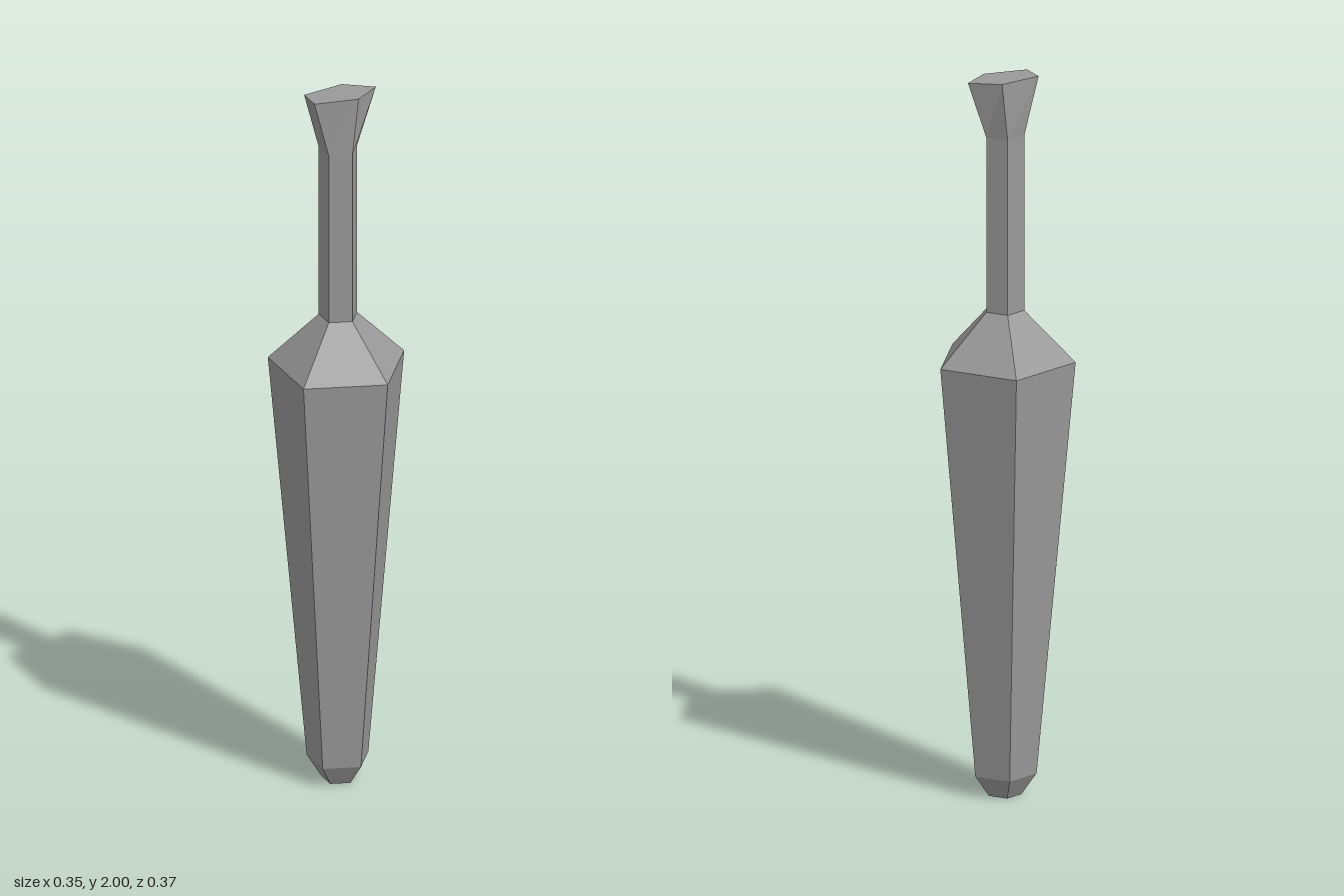
import * as THREE from 'three';

const CENTRE = -0.019; // x of the five-sided axis

// Regular pentagon ring with one corner pointing to +x
function pentagon(y, r) {
  return Array.from({ length: 5 }, (_, k) => {
    const a = (k * Math.PI * 2) / 5;
    return [CENTRE + r * Math.cos(a), y, r * Math.sin(a)];
  });
}

// Skin a stack of rings, listed from bottom to top, with optional end caps
function loft(name, rings, material, { capBottom = false, capTop = false } = {}) {
  const pos = [];
  const tri = (a, b, c) => pos.push(...a, ...b, ...c);
  const n = rings[0].length;
  for (let i = 0; i < rings.length - 1; i++) {
    const lo = rings[i], hi = rings[i + 1];
    for (let k = 0; k < n; k++) {
      const j = (k + 1) % n;
      tri(lo[k], hi[k], lo[j]);
      tri(hi[k], hi[j], lo[j]);
    }
  }
  const first = rings[0], last = rings[rings.length - 1];
  for (let k = 1; k < n - 1; k++) {
    if (capBottom) tri(first[0], first[k], first[k + 1]);
    if (capTop) tri(last[0], last[k + 1], last[k]);
  }
  const geometry = new THREE.BufferGeometry();
  geometry.setAttribute('position', new THREE.Float32BufferAttribute(pos, 3));
  geometry.computeVertexNormals();
  const mesh = new THREE.Mesh(geometry, material);
  mesh.name = name;
  return mesh;
}

export function createModel() {
  const group = new THREE.Group();
  group.name = 'taperedClub';
  const material = new THREE.MeshStandardMaterial({ color: 0x999999, flatShading: true });

  const foot = pentagon(0, 0.046);
  const tipTop = pentagon(0.06, 0.087);
  const shoulderBase = pentagon(1.213, 0.192);
  const neckBase = pentagon(1.352, 0.054);
  const neckTop = pentagon(1.84, 0.054);
  // Flared end, stretched along x only
  const flareTop = [[0.09, 2, 0], [0.015, 2, 0.053], [-0.105, 2, 0.033], [-0.105, 2, -0.033], [0.015, 2, -0.053]];

  group.add(
    loft('tip', [foot, tipTop], material, { capBottom: true }),
    loft('body', [tipTop, shoulderBase], material),
    loft('shoulder', [shoulderBase, neckBase], material),
    loft('handle', [neckBase, neckTop], material),
    loft('flaredPommel', [neckTop, flareTop], material, { capTop: true }),
  );
  return group;
}
